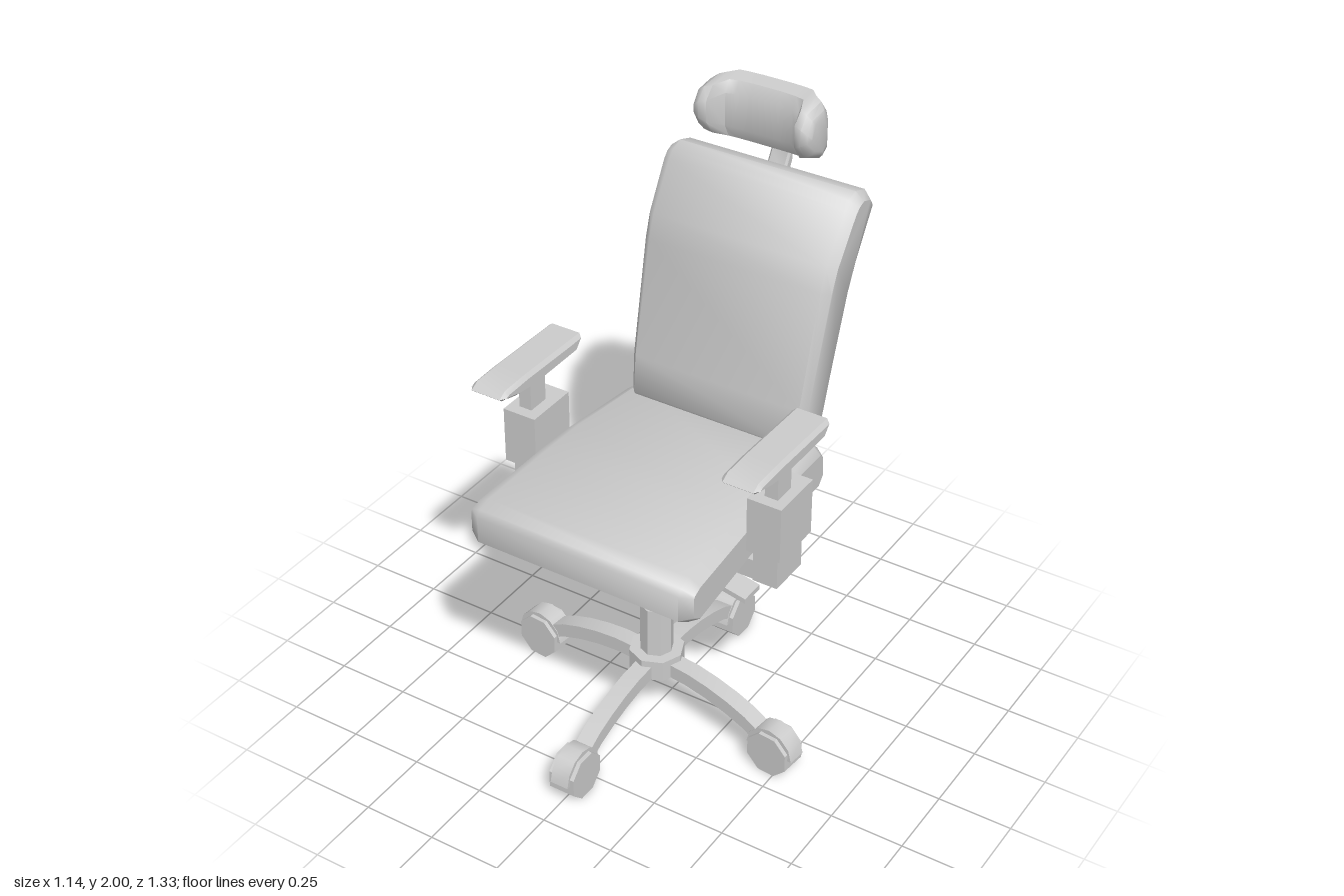
import * as THREE from 'three';
import { toCreasedNormals } from 'three/addons/utils/BufferGeometryUtils.js';

const grey = new THREE.MeshStandardMaterial({ color: 0xcccccc });
const CZ = 0.095; // z of the column axis

function add(parent, name, geometry, crease = 0.6) {
  const mesh = new THREE.Mesh(toCreasedNormals(geometry, crease), grey);
  mesh.name = name;
  parent.add(mesh);
  return mesh;
}

function box(parent, name, [w, h, d], [x, y, z]) {
  add(parent, name, new THREE.BoxGeometry(w, h, d).translate(x, y, z));
}

// Skin rings of [x, y, z] running from -x to +x, each counter-clockwise seen from +x
function loft(rings) {
  const n = rings[0].length, index = [];
  for (let i = 0; i < rings.length - 1; i++) {
    for (let j = 0; j < n; j++) {
      const a = i * n + j, b = i * n + (j + 1) % n;
      index.push(a, b, b + n, a, b + n, a + n);
    }
  }
  const last = (rings.length - 1) * n;
  const outline = rings[0].map(([, y, z]) => new THREE.Vector2(-z, y));
  for (const [a, b, c] of THREE.ShapeUtils.triangulateShape(outline, [])) {
    index.push(c, b, a, last + a, last + b, last + c);
  }
  const g = new THREE.BufferGeometry();
  g.setAttribute('position', new THREE.Float32BufferAttribute(rings.flat(2), 3));
  g.setIndex(index);
  return g;
}

// Side profile of [z, y] points swept across x; the outer sides are inset for a soft edge.
// inner and outer give the half widths at a point of the profile.
function pad(profile, inner, outer, inset) {
  let pts = profile.map(([z, y]) => new THREE.Vector2(-z, y));
  if (THREE.ShapeUtils.isClockWise(pts)) pts = pts.reverse();
  const n = pts.length;
  const small = pts.map((p, i) => {
    const d1 = p.clone().sub(pts[(i + n - 1) % n]).normalize();
    const d2 = pts[(i + 1) % n].clone().sub(p).normalize();
    const normal = new THREE.Vector2(-d1.y - d2.y, d1.x + d2.x).normalize();
    const cos = normal.dot(new THREE.Vector2(-d1.y, d1.x));
    return p.clone().addScaledVector(normal, inset / Math.max(cos, 0.6));
  });
  const ring = (points, width, side) => points.map((p) => [side * width(-p.x, p.y), p.y, -p.x]);
  return loft([ring(small, outer, -1), ring(pts, inner, -1), ring(pts, inner, 1), ring(small, outer, 1)]);
}

function extrude(points, depth) {
  const shape = new THREE.Shape(points.map(([x, y]) => new THREE.Vector2(x, y)));
  return new THREE.ExtrudeGeometry(shape, { depth, bevelEnabled: false }).translate(0, 0, -depth / 2);
}

const { lerp } = THREE.MathUtils;

export function createModel() {
  const chair = new THREE.Group();
  chair.name = 'officeChair';

  // Four-legged base: curved leg, half-round fender and octagonal wheel
  const legTop = [[0.04, 0.228], [0.15, 0.225], [0.23, 0.213], [0.31, 0.193], [0.38, 0.168], [0.43, 0.14]];
  const legOutline = [...legTop, ...legTop.map(([x, y]) => [x - 0.006, y - 0.05]).reverse()];
  const arc = (r) => Array.from({ length: 7 }, (_, i) => {
    const a = i / 6 * Math.PI;
    return [0.48 + r * Math.cos(a), 0.078 + r * Math.sin(a)];
  });
  for (const yaw of [-0.1, Math.PI - 0.1, -Math.PI / 2, Math.PI / 2]) {
    const leg = new THREE.Group();
    leg.name = 'baseLeg';
    leg.position.z = CZ;
    leg.rotation.y = yaw;
    add(leg, 'legArm', extrude(legOutline, 0.06));
    add(leg, 'wheelFender', extrude([...arc(0.088), ...arc(0.06).reverse()], 0.064));
    const wheel = new THREE.CylinderGeometry(0.08, 0.08, 0.092, 8).rotateY(Math.PI / 8).rotateX(Math.PI / 2);
    add(leg, 'wheel', wheel.translate(0.48, 0.074, 0));
    chair.add(leg);
  }

  // Hub and gas column
  for (const [name, r, y0, y1] of [
    ['hub', 0.092, 0.175, 0.25], ['columnSleeve', 0.055, 0.2, 0.43], ['column', 0.039, 0.4, 0.78],
  ]) {
    add(chair, name, new THREE.CylinderGeometry(r, r, y1 - y0, 8).translate(0, (y0 + y1) / 2, CZ));
  }

  // Height lever, widening into a paddle
  const lever = [[0.02, 0.71, 0.035], [0.09, 0.695, 0.035], [0.13, 0.665, 0.04], [0.19, 0.647, 0.088], [0.355, 0.613, 0.088]];
  add(chair, 'heightLever', loft(lever.map(([x, y, w]) => [
    [x, y - 0.009, CZ + w / 2], [x, y - 0.009, CZ - w / 2],
    [x, y + 0.009, CZ - w / 2], [x, y + 0.009, CZ + w / 2],
  ])));

  // Arm supports and armrests
  box(chair, 'crossBar', [0.97, 0.07, 0.14], [0, 0.777, 0.1]);
  const restProfile = [[0.355, 1.215], [0.325, 1.232], [0.22, 1.235], [-0.075, 1.23], [-0.08, 1.217],
    [-0.045, 1.178], [0.19, 1.176], [0.27, 1.186], [0.345, 1.206]];
  for (const side of [1, -1]) {
    const arm = new THREE.Group();
    arm.name = side > 0 ? 'leftArm' : 'rightArm';
    box(arm, 'armBracket', [0.085, 0.13, 0.147], [side * 0.4425, 0.805, 0.1]);
    box(arm, 'armHousing', [0.118, 0.195, 0.188], [side * 0.445, 0.9575, 0.1]);
    box(arm, 'armPost', [0.045, 0.16, 0.078], [side * 0.447, 1.12, 0.117]);
    const rest = add(arm, 'armrest', pad(restProfile, () => 0.052, () => 0.065, 0.012));
    rest.position.x = side * 0.448;
    chair.add(arm);
  }

  // Seat cushion, crowned in the middle and narrower at the rear
  const seatProfile = [[0.54, 0.9], [0.525, 0.922], [0.48, 0.937], [0.17, 0.953], [0.02, 0.955], [-0.31, 0.933],
    [-0.345, 0.9], [-0.35, 0.81], [-0.305, 0.767], [0.02, 0.793], [0.17, 0.797], [0.485, 0.77], [0.54, 0.81]];
  const seatWidth = (rear, front) => (z) => lerp(rear, front, (z + 0.35) / 0.88);
  add(chair, 'seatCushion', pad(seatProfile, seatWidth(0.325, 0.362), seatWidth(0.36, 0.403), 0.025), 0.85);

  // Backrest, leaning rearward with a bend near the top
  const backProfile = [[-0.24, 0.95], [-0.255, 1.08], [-0.35, 1.46], [-0.38, 1.54], [-0.475, 1.69], [-0.5, 1.715],
    [-0.54, 1.73], [-0.6, 1.71], [-0.63, 1.665], [-0.54, 1.49], [-0.505, 1.4], [-0.44, 1.16], [-0.385, 0.94],
    [-0.345, 0.895], [-0.265, 0.915]];
  const backWidth = (low, high) => (z, y) => lerp(low, high, (y - 0.9) / 0.82);
  add(chair, 'backrest', pad(backProfile, backWidth(0.3, 0.315), backWidth(0.318, 0.347), 0.025), 0.85);

  // Headrest: cross-sections [x, front z, back z, shrink] with wings curling forward
  const half = [[0.05, -0.52, -0.617, 0], [0.1, -0.515, -0.615, 0], [0.13, -0.505, -0.612, 0],
    [0.155, -0.435, -0.6, 0.003], [0.18, -0.428, -0.585, 0.01], [0.2, -0.435, -0.56, 0.025], [0.208, -0.45, -0.54, 0.04]];
  const sections = [...half.map(([x, ...rest]) => [-x, ...rest]).reverse(), ...half];
  add(chair, 'headrest', loft(sections.map(([x, front, back, s]) => {
    const low = (z) => 1.79 + s + Math.max(0, z + 0.55) * 0.45;
    const b = (front - back) * 0.22;
    return [
      [x, low(front) + 0.035, front], [x, low(front - b), front - b], [x, low(back + b), back + b],
      [x, low(back) + 0.025, back], [x, 1.955 - s, back], [x, 2 - s, back + b],
      [x, 1.992 - s, front - b], [x, 1.955 - s, front],
    ];
  })), 0.85);

  // Headrest mount and stem
  const mount = extrude([[-0.1, 1.91], [-0.1, 1.85], [-0.06, 1.81], [0.06, 1.81], [0.1, 1.85], [0.1, 1.91], [0.09, 1.92], [-0.09, 1.92]], 0.07);
  add(chair, 'headrestMount', mount.translate(0, 0, -0.628));
  const stemProfile = [[-0.625, 1.83], [-0.625, 1.74], [-0.59, 1.68], [-0.57, 1.62], [-0.605, 1.63], [-0.648, 1.71], [-0.66, 1.83]];
  add(chair, 'headrestStem', pad(stemProfile, () => 0.028, () => 0.035, 0.007));

  return chair;
}
